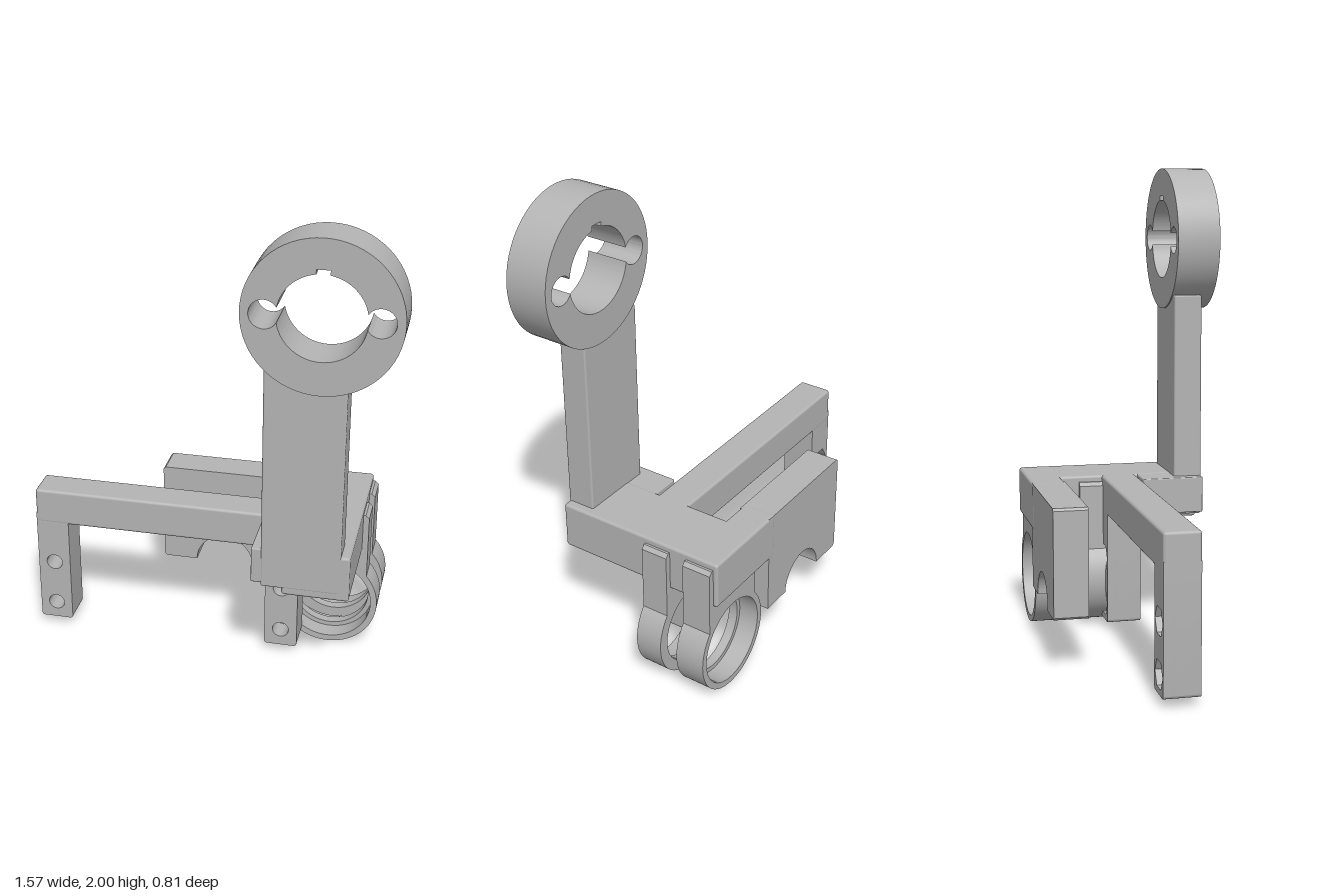
import * as THREE from 'three';
import { toCreasedNormals } from 'three/addons/utils/BufferGeometryUtils.js';
import { RoundedBoxGeometry } from 'three/addons/geometries/RoundedBoxGeometry.js';

const grey = new THREE.MeshStandardMaterial({ color: 0xb4b4b4 });
grey.name = 'grey plastic';

export function createModel() {
  const group = new THREE.Group();

  function add(name, geometry) {
    const mesh = new THREE.Mesh(geometry, grey);
    mesh.name = name;
    group.add(mesh);
  }

  // Rounded box given by its limits
  function box(name, x0, x1, y0, y1, z0, z1, r = 0.012) {
    const g = new RoundedBoxGeometry(x1 - x0, y1 - y0, z1 - z0, 2, r);
    g.translate((x0 + x1) / 2, (y0 + y1) / 2, (z0 + z1) / 2);
    add(name, g);
  }

  // Outline in x/y extruded from z0 to z1
  function slab(name, shape, z0, z1) {
    const g = new THREE.ExtrudeGeometry(shape, { depth: z1 - z0, bevelEnabled: false, curveSegments: 32 });
    g.translate(0, 0, z0);
    add(name, toCreasedNormals(g, 0.5));
  }

  const circle = (x, y, r) => new THREE.Path().absarc(x, y, r, 0, Math.PI * 2, false);
  const hexagon = (x, y, r) => new THREE.Path().setFromPoints(
    Array.from({ length: 7 }, (_, i) => new THREE.Vector2(
      x + r * Math.cos(i * Math.PI / 3), y + r * Math.sin(i * Math.PI / 3))));

  // Base block, front shoulder and upright column
  box('baseBlock', 0.34, 0.615, 0.47, 0.672, -0.405, 0.345);
  box('frontShoulder', 0.215, 0.42, 0.515, 0.67, 0.08, 0.344, 0.005);
  box('backBridge', 0.2, 0.42, 0.47, 0.672, -0.405, -0.262);
  box('column', 0.255, 0.578, 0.5, 1.46, 0.225, 0.346, 0.008);

  // Large top ring with a keyed bore opening into two side holes
  const cx = 0.478, cy = 1.695, bore = 0.17, side = 0.216, sr = 0.057;
  const a = 0.175, b = 0.547, n = 0.1535, PI = Math.PI;
  const ring = new THREE.Shape().absarc(cx, cy, 0.306, 0, PI * 2, false);
  const key = new THREE.Path();
  key.absarc(cx, cy, bore, a, PI / 2 - n, false);
  key.lineTo(cx + 0.026, cy + 0.187);
  key.lineTo(cx - 0.026, cy + 0.187);
  key.absarc(cx, cy, bore, PI / 2 + n, PI - a, false);
  key.absarc(cx - side, cy, sr, b, PI * 2 - b, false);
  key.absarc(cx, cy, bore, PI + a, PI * 2 - a, false);
  key.absarc(cx + side, cy, sr, -PI + b, PI - b, false);
  ring.holes.push(key);
  slab('topRing', ring, 0.22, 0.403);

  // Long arm with two drilled legs, nut pockets at the back
  box('longArm', -0.787, 0.42, 0.515, 0.672, -0.08, 0.068);
  for (const [name, x] of [['rightLeg', -0.716], ['leftLeg', 0.295]]) {
    const outline = () => {
      const s = new THREE.Shape(), w = 0.071, y0 = 0.038, r = 0.015;
      s.moveTo(x - w, 0.56);
      s.lineTo(x - w, y0 + r);
      s.quadraticCurveTo(x - w, y0, x - w + r, y0);
      s.lineTo(x + w - r, y0);
      s.quadraticCurveTo(x + w, y0, x + w, y0 + r);
      s.lineTo(x + w, 0.56);
      s.closePath();
      return s;
    };
    const front = outline(), back = outline();
    for (const y of [0.115, 0.32]) {
      front.holes.push(circle(x, y, 0.035));
      back.holes.push(hexagon(x, y, 0.06));
    }
    slab(name, front, -0.03, 0.067);
    slab(name + 'NutPockets', back, -0.079, -0.03);
  }

  // Rear plate with a half-round cutout
  const plate = new THREE.Shape();
  plate.moveTo(-0.302, 0.23);
  plate.lineTo(-0.292, 0.22);
  plate.lineTo(-0.152, 0.22);
  plate.absarc(-0.025, 0.22, 0.127, PI, 0, true);
  plate.lineTo(0.24, 0.22);
  plate.lineTo(0.24, 0.671);
  plate.lineTo(-0.292, 0.671);
  plate.lineTo(-0.302, 0.661);
  plate.closePath();
  slab('rearPlate', plate, -0.404, -0.262);

  // Two hanging clamps: a tab ending in a ring, with a thin inner lip
  const hx = 0.478, hy = 0.213, hr = 0.212, half = 0.162;
  const t = Math.acos(half / hr);
  for (const [name, z0, z1, lip] of [
    ['frontClamp', -0.182, -0.065, -0.182],
    ['rearClamp', -0.387, -0.26, -0.3]]) {
    const s = new THREE.Shape();
    s.moveTo(hx + half, 0.63);
    s.lineTo(hx + half - 0.015, 0.645);
    s.lineTo(hx - half + 0.015, 0.645);
    s.lineTo(hx - half, 0.63);
    s.absarc(hx, hy, hr, PI - t, PI * 2 + t, false);
    s.closePath();
    s.holes.push(circle(hx, hy, 0.185));
    slab(name, s, z0, z1);
    const l = new THREE.Shape().absarc(hx, hy, 0.19, 0, PI * 2, false);
    l.holes.push(circle(hx, hy, 0.165));
    slab(name + 'Lip', l, lip, lip + 0.04);
  }

  return group;
}
